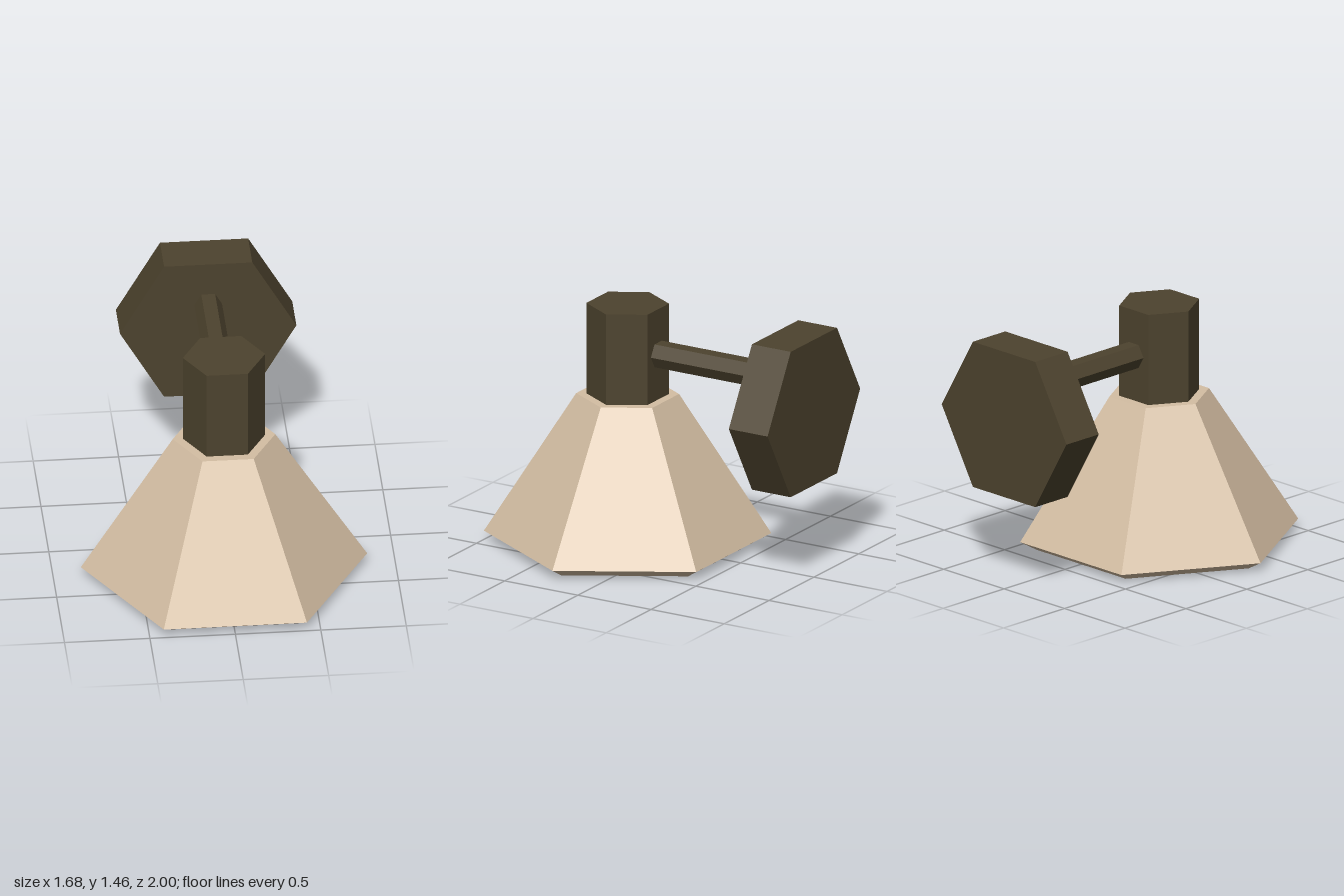
import * as THREE from 'three';

export function createModel() {
  const group = new THREE.Group();
  const tan = new THREE.MeshStandardMaterial({ color: 0xd4bea3, flatShading: true });
  tan.name = 'tan shade';
  const bronze = new THREE.MeshStandardMaterial({ color: 0x4d432e, flatShading: true });
  bronze.name = 'dark bronze';
  const shadeZ = 0.273;

  const add = (name, geometry, material, x, y, z) => {
    const mesh = new THREE.Mesh(geometry, material);
    mesh.name = name;
    mesh.position.set(x, y, z);
    group.add(mesh);
    return mesh;
  };
  // Six-sided bar with corners on the +x and -x sides
  const hexBar = (radius, length) =>
    new THREE.CylinderGeometry(radius, radius, length, 6, 1, false, Math.PI / 2);

  // Hollow shade: inside ceiling, inner wall, bevelled rim, outer wall, top ring
  const profile = [[0, 0.85], [0.2, 0.85], [0.74, 0], [0.838, 0.055], [0.3, 0.905], [0, 0.905]]
    .map(([r, y]) => new THREE.Vector2(r, y));
  add('shade', new THREE.LatheGeometry(profile, 6, Math.PI / 2), tan, 0, 0, shadeZ);

  // Post standing on the shade
  add('post', hexBar(0.241, 0.57), bronze, 0, 1.175, shadeZ);

  // Arm from the post through the wall plate
  add('arm', hexBar(0.081, 1.1).rotateX(Math.PI / 2), bronze, 0, 1.185, -0.45);

  // Wall plate
  add('wallPlate', hexBar(0.516, 0.265).rotateX(Math.PI / 2), bronze, 0, 1.012, -0.8675);

  return group;
}
